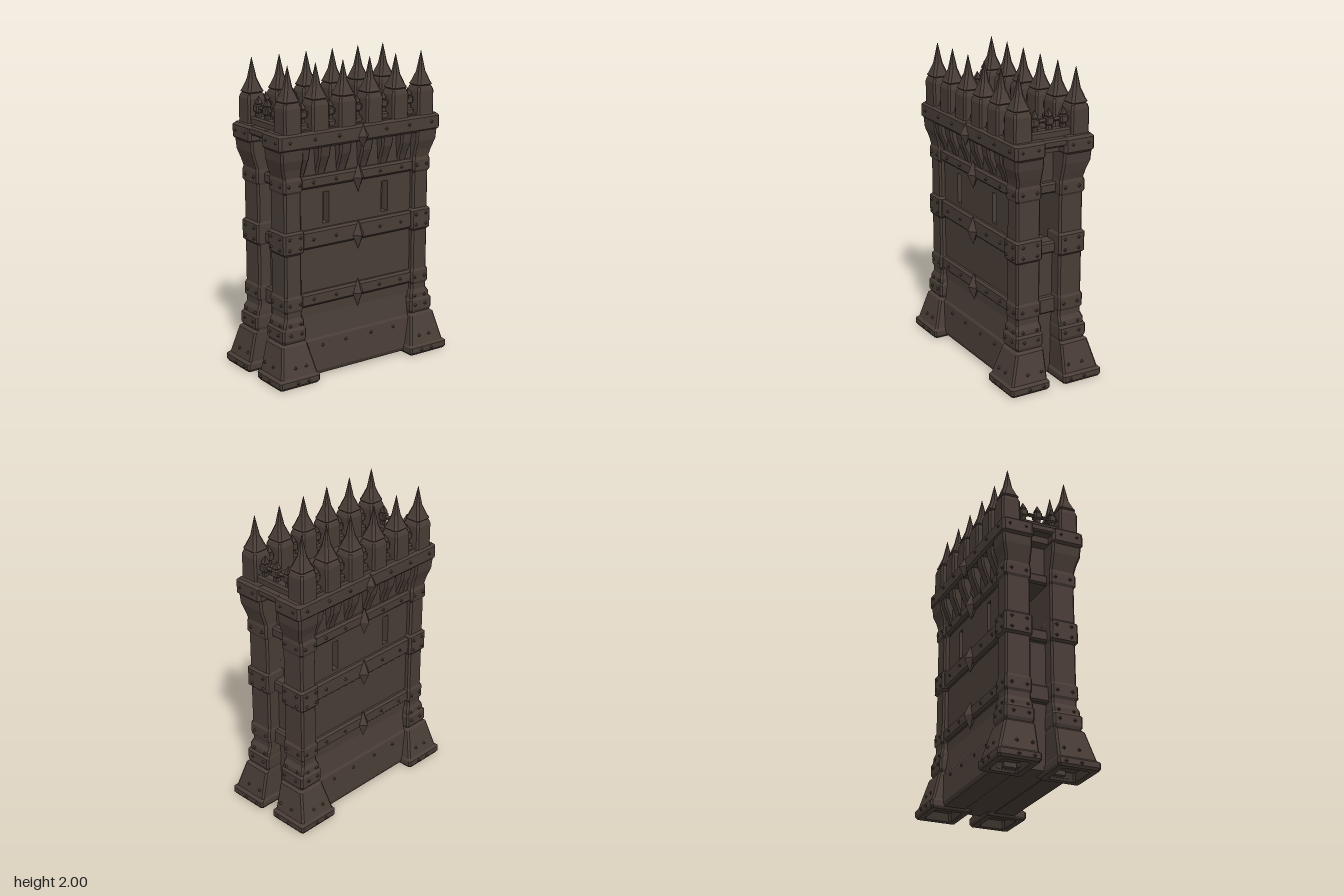
import * as THREE from 'three';

const stone = new THREE.MeshStandardMaterial({ color: 0x4a3e37 });
stone.name = 'dark brown stone';
stone.flatShading = true;

// Chamfered block lofted through rings [y, x0, x1, z0, z1]
function loft(rings, chamfer = 0.012) {
  const pos = [], idx = [];
  for (const [y, x0, x1, z0, z1] of rings) {
    const c = Math.min(chamfer, (x1 - x0) / 3, (z1 - z0) / 3);
    for (const [x, z] of [[x1, z1 - c], [x1, z0 + c], [x1 - c, z0], [x0 + c, z0],
      [x0, z0 + c], [x0, z1 - c], [x0 + c, z1], [x1 - c, z1]]) pos.push(x, y, z);
  }
  const last = (rings.length - 1) * 8;
  for (let r = 0; r < last; r += 8)
    for (let i = 0; i < 8; i++) {
      const a = r + i, b = r + (i + 1) % 8;
      idx.push(a, b, b + 8, a, b + 8, a + 8);
    }
  for (let i = 1; i < 7; i++) idx.push(0, i + 1, i, last, last + i, last + i + 1);
  const g = new THREE.BufferGeometry();
  g.setAttribute('position', new THREE.Float32BufferAttribute(pos, 3));
  g.setIndex(idx);
  const flat = g.toNonIndexed();
  flat.computeVertexNormals();
  return flat;
}

function add(parent, name, geometry, x = 0, y = 0, z = 0) {
  const mesh = new THREE.Mesh(geometry, stone);
  mesh.name = name;
  mesh.position.set(x, y, z);
  parent.add(mesh);
  return mesh;
}

// Bevelled box between two heights
function slab(x0, x1, y0, y1, z0, z1, b = 0.012) {
  return loft([
    [y0, x0 + b, x1 - b, z0 + b, z1 - b], [y0 + b, x0, x1, z0, z1],
    [y1 - b, x0, x1, z0, z1], [y1, x0 + b, x1 - b, z0 + b, z1 - b],
  ], b);
}

const mirrored = (rings, sx, sz) => rings.map(([y, x0, x1, z0, z1]) => [
  y, sx > 0 ? x0 : -x1, sx > 0 ? x1 : -x0, sz > 0 ? z0 : -z1, sz > 0 ? z1 : -z0]);

const square = (y, h) => [y, -h, h, -h, h];

const pillarRings = [
  [0.05, 0.43, 0.59, 0.11, 0.27], [0, 0.41, 0.61, 0.1, 0.28],
  [0, 0.37, 0.65, 0.06, 0.32], [0.015, 0.36, 0.66, 0.05, 0.33],
  [0.05, 0.36, 0.66, 0.05, 0.33], [0.065, 0.37, 0.64, 0.06, 0.315],
  [0.25, 0.41, 0.6, 0.063, 0.262], [0.265, 0.42, 0.58, 0.066, 0.245],
  [0.285, 0.412, 0.588, 0.06, 0.255], [0.35, 0.412, 0.588, 0.06, 0.255],
  [0.365, 0.42, 0.575, 0.064, 0.246], [0.395, 0.42, 0.572, 0.064, 0.246],
  [0.425, 0.432, 0.555, 0.068, 0.235], [0.46, 0.432, 0.555, 0.068, 0.235],
  [0.475, 0.425, 0.564, 0.064, 0.243], [0.55, 0.425, 0.564, 0.064, 0.243],
  [0.565, 0.432, 0.555, 0.068, 0.235], [0.83, 0.432, 0.555, 0.068, 0.235],
  [0.845, 0.418, 0.57, 0.06, 0.248], [0.965, 0.418, 0.57, 0.06, 0.248],
  [0.98, 0.432, 0.555, 0.068, 0.235], [1.22, 0.432, 0.555, 0.068, 0.235],
  [1.235, 0.425, 0.564, 0.064, 0.245], [1.3, 0.425, 0.564, 0.064, 0.245],
  [1.32, 0.432, 0.56, 0.068, 0.237], [1.37, 0.432, 0.575, 0.068, 0.245],
  [1.43, 0.432, 0.592, 0.068, 0.265], [1.5, 0.432, 0.597, 0.068, 0.27],
];

const wallBands = [[0.47, 0.56], [0.845, 0.965], [1.23, 1.31]];
const merlonXs = [-0.505, -0.303, -0.101, 0.101, 0.303, 0.505];

// One long face, built towards +z
function longFace() {
  const face = new THREE.Group();

  // Wall with two arrow slits
  const wall = new THREE.Shape([[-0.45, 0.02], [0.45, 0.02], [0.45, 1.52], [-0.45, 1.52]]
    .map(p => new THREE.Vector2(...p)));
  for (const x of [-0.23, 0.225])
    wall.holes.push(new THREE.Path([[x - 0.025, 0.99], [x - 0.025, 1.19], [x + 0.025, 1.19], [x + 0.025, 0.99]]
      .map(p => new THREE.Vector2(...p))));
  add(face, 'slit wall', new THREE.ExtrudeGeometry(wall, { depth: 0.06, bevelEnabled: false }), 0, 0, 0.14);
  add(face, 'inner wall', new THREE.BoxGeometry(0.9, 1.5, 0.07), 0, 0.77, 0.105);

  // Plinth, sloped course and bands
  add(face, 'plinth', loft([
    [0.015, -0.42, 0.42, 0.1, 0.24], [0.04, -0.42, 0.42, 0.1, 0.25],
    [0.24, -0.42, 0.42, 0.1, 0.232], [0.255, -0.42, 0.42, 0.1, 0.222],
    [0.4, -0.42, 0.42, 0.1, 0.2]]));
  for (const [y0, y1] of wallBands) add(face, 'wall band', slab(-0.44, 0.44, y0, y1, 0.12, 0.228, 0.014));

  // Corbels under the cornice
  for (const x of [-0.425, -0.272, -0.115, 0.048, 0.207, 0.357])
    add(face, 'corbel', loft([
      [1.3, -0.032, 0.032, 0.15, 0.205], [1.35, -0.038, 0.038, 0.15, 0.22],
      [1.43, -0.042, 0.042, 0.15, 0.255], [1.5, -0.046, 0.046, 0.15, 0.265]]), x);

  // Diamond studs
  for (const [y, z] of [[0.495, 0.225], [0.88, 0.228], [1.255, 0.225], [1.525, 0.275]]) {
    const d = add(face, 'diamond stud', new THREE.OctahedronGeometry(1), 0, y, z);
    d.scale.set(0.042, y > 1.5 ? 0.075 : 0.095, 0.042);
  }

  // Merlons with spires
  for (const x of merlonXs) {
    add(face, 'merlon', loft([
      square(1.59, 0.066), square(1.61, 0.064), square(1.75, 0.064), square(1.775, 0.056),
      square(1.785, 0.045)]), x, 0, 0.2);
    add(face, 'spire', loft([
      square(1.775, 0.044), square(1.79, 0.058), square(1.805, 0.05),
      square(1.87, 0.027), square(2, 0.001)], 0.014), x, 0, 0.2);
  }

  // Low parapet, rail and small pickets
  add(face, 'parapet', slab(-0.52, 0.52, 1.58, 1.615, 0.165, 0.235));
  add(face, 'rail', slab(-0.5, 0.5, 1.685, 1.712, 0.187, 0.213, 0.006));
  for (const x of [-0.404, -0.202, 0, 0.202, 0.404]) picket(face, x, 0.2);

  // Rivets on bands, cornice and plinth
  for (const [y0, y1] of wallBands)
    for (const x of [-0.34, -0.17, 0.17, 0.34]) rivet(face, x, (y0 + y1) / 2, 0.228);
  for (const x of [-0.54, -0.36, -0.18, 0.18, 0.36, 0.54]) rivet(face, x, 1.55, 0.278);
  for (const x of [-0.28, -0.1, 0.1, 0.28]) rivet(face, x, 0.2, 0.235);
  return face;
}

function picket(parent, x, z) {
  add(parent, 'picket', loft([
    square(1.59, 0.03), square(1.635, 0.03), square(1.645, 0.018), square(1.67, 0.018),
    square(1.68, 0.026), square(1.715, 0.026), square(1.72, 0.016), square(1.73, 0.022),
    square(1.775, 0.001)], 0.008), x, 0, z);
}

function rivet(parent, x, y, z) {
  add(parent, 'rivet', new THREE.OctahedronGeometry(0.013), x, y, z);
}

export function createModel() {
  const model = new THREE.Group();
  model.name = 'gate tower';

  // Front and back faces
  for (const [name, turn] of [['front', 0], ['back', Math.PI]]) {
    const face = longFace();
    face.name = name + ' face';
    face.rotation.y = turn;
    model.add(face);
  }

  // Solid core below and above the passage
  add(model, 'lower core', new THREE.BoxGeometry(0.94, 0.88, 0.24), 0, 0.46, 0);
  add(model, 'upper core', new THREE.BoxGeometry(0.94, 0.28, 0.24), 0, 1.37, 0);

  // Corner pillars with rivets on their outer sides
  for (const sx of [-1, 1]) for (const sz of [-1, 1]) {
    add(model, 'corner pillar', loft(mirrored(pillarRings, sx, sz)));
    for (const [y, x, z] of [[0.03, 0.66, 0.33], [0.12, 0.63, 0.3], [0.32, 0.588, 0.255],
      [0.38, 0.573, 0.246], [0.51, 0.564, 0.243], [0.87, 0.57, 0.248], [0.94, 0.57, 0.248], [1.27, 0.564, 0.245]]) {
      for (const k of [0.1, 0.2]) rivet(model, sx * x, y, sz * k);
      for (const k of [0.45, 0.53]) rivet(model, sx * k, y, sz * z);
    }
  }

  // Short ends: bands, cornice blocks, railing
  for (const s of [-1, 1]) {
    const end = (name, x0, x1, ...rest) =>
      add(model, name, slab(s > 0 ? x0 : -x1, s > 0 ? x1 : -x0, ...rest));
    end('end band', 0.4, 0.51, 0.44, 0.55, -0.09, 0.09);
    end('passage sill', 0.4, 0.51, 0.84, 0.918, -0.09, 0.09);
    end('passage lintel', 0.4, 0.51, 1.23, 1.3, -0.09, 0.09);
    end('end cornice', 0.46, 0.605, 1.545, 1.598, -0.1, 0.1);
    end('end parapet', 0.485, 0.555, 1.58, 1.645, -0.17, 0.17);
    end('end rail', 0.507, 0.533, 1.685, 1.712, -0.19, 0.19);
    for (const z of [-0.1, 0, 0.1]) picket(model, s * 0.52, z);
    for (const z of [-0.23, -0.12, 0.12, 0.23]) rivet(model, s * 0.61, 1.55, z);
  }

  // Cornice along both long sides, wrapping the corners
  for (const s of [-1, 1])
    add(model, 'cornice', slab(-0.612, 0.612, 1.49, 1.6, s > 0 ? 0.065 : -0.278, s > 0 ? 0.278 : -0.065, 0.016));

  // Roof deck in two overlapping plates
  add(model, 'roof deck', new THREE.BoxGeometry(0.5, 0.1, 0.3), -0.29, 1.552, 0);
  add(model, 'roof deck', new THREE.BoxGeometry(0.58, 0.09, 0.3), 0.25, 1.547, 0);
  return model;
}
